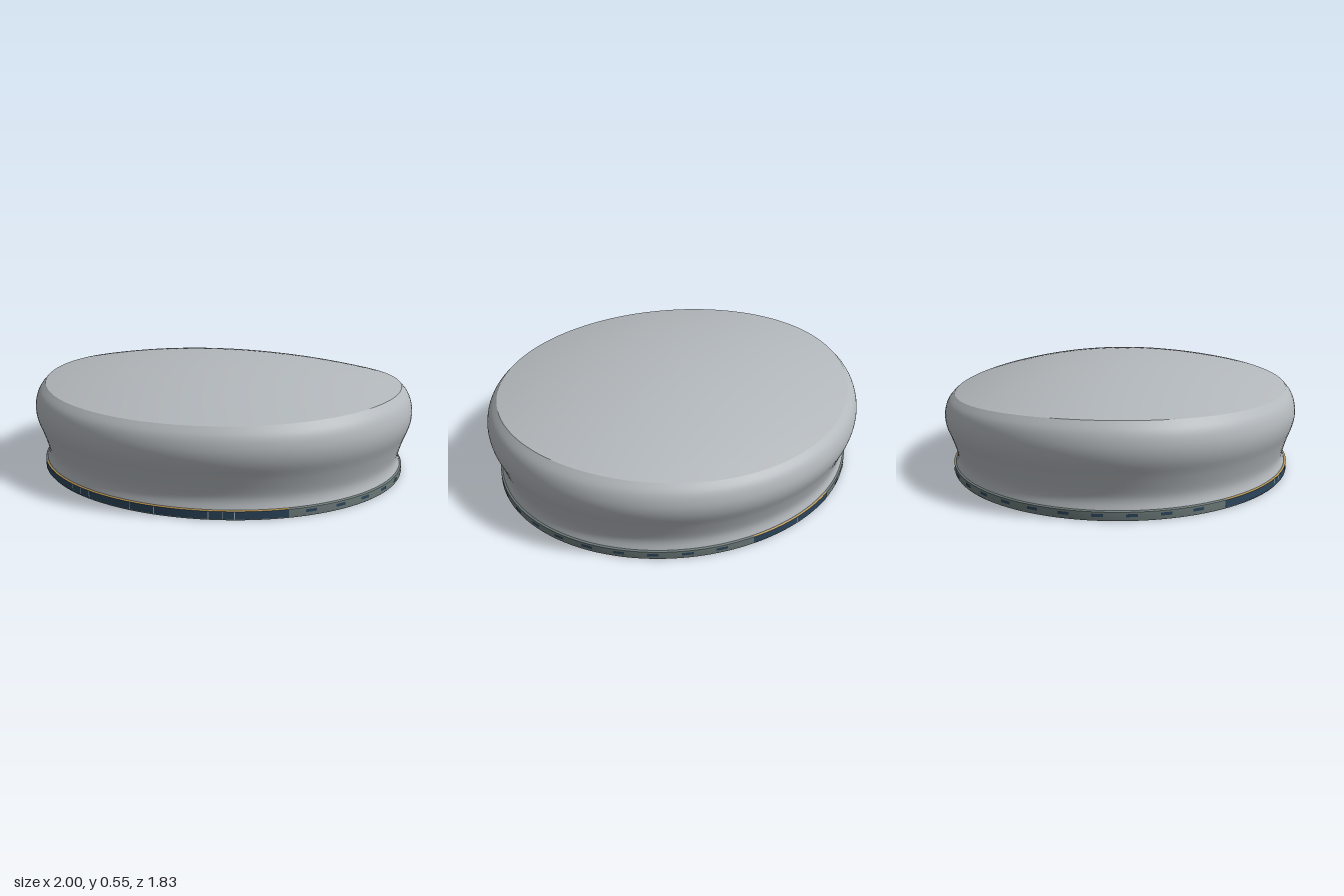
import * as THREE from 'three';
import { mergeVertices } from 'three/addons/utils/BufferGeometryUtils.js';

const DEPTH = 0.915; // oval: depth relative to width
const RAD = Math.PI / 180;

const mat = (name, color) => {
  const m = new THREE.MeshStandardMaterial({ color });
  m.name = name;
  return m;
};

// Height of the sloping upper rim, s = 1 at the front and -1 at the back
const rimHeight = (s) => 0.45 - 0.035 * s * s + 0.015 * s * s * s;

// Oval lathe from [radius, height] pairs; angles in degrees, 0 = front, 90 = +x
function ovalLathe(points, { from = 0, to = 360, segments = 128, rule = null } = {}) {
  const pts = points.map(([r, y]) => new THREE.Vector2(r, y));
  let g = new THREE.LatheGeometry(pts, segments, from * RAD, (to - from) * RAD);
  const p = g.attributes.position;
  for (let i = 0; i < p.count; i++) {
    const x = p.getX(i), y = p.getY(i), z = p.getZ(i);
    const r = Math.hypot(x, z);
    p.setXYZ(i, x, rule ? rule(r, y, r > 1e-6 ? z / r : 0) : y, z * DEPTH);
  }
  g.deleteAttribute('uv');
  g.deleteAttribute('normal');
  g = mergeVertices(g, 1e-5);
  g.computeVertexNormals();
  return g;
}

export function createModel() {
  const model = new THREE.Group();
  const shell = mat('silver grey', 0xb3b8bc);
  const ringGrey = mat('slate grey', 0x6f7d7c);
  const dark = mat('dark grey', 0x4c5252);
  const navy = mat('navy', 0x2c465c);
  const pale = mat('pale blue', 0xa9b8c4);
  const gold = mat('gold', 0xb8924c);
  gold.side = THREE.DoubleSide;

  const add = (name, geometry, material) => {
    const m = new THREE.Mesh(geometry, material);
    m.name = name;
    model.add(m);
  };

  // Waisted side wall
  const wall = new THREE.SplineCurve([
    [0.948, 0.045], [0.938, 0.08], [0.941, 0.12], [0.964, 0.195], [0.99, 0.265],
    [0.998, 0.32], [0.991, 0.37], [0.973, 0.412], [0.94, 0.45],
  ].map(([r, y]) => new THREE.Vector2(r, y))).getPoints(40).map((v) => [v.x, v.y]);
  add('sideWall', ovalLathe(wall, {
    rule: (r, y, s) => y + (rimHeight(s) - 0.45) * Math.pow(Math.max(0, (y - 0.045) / 0.405), 1.5),
  }), shell);

  // Domed top following the sloping rim
  const dome = [];
  for (let i = 16; i >= 0; i--) dome.push([0.94 * i / 16, 0]);
  add('domedTop', ovalLathe(dome, {
    rule: (r, y, s) => 0.55 - (0.55 - rimHeight(s)) * (r / 0.94) ** 2,
  }), shell);

  // Base ring and underside
  add('baseRing', ovalLathe([[0.953, 0], [0.957, 0.005], [0.957, 0.042]]), ringGrey);
  add('baseRingTop', ovalLathe([[0.957, 0.042], [0.953, 0.046], [0.935, 0.047]]), ringGrey);
  add('underside', ovalLathe([[0, 0], [0.953, 0]]), dark);

  // Thin plate lying on the ring
  const band = (name, from, to, y0, y1, r, material) =>
    add(name, ovalLathe([[r, y0], [r, y1]], { from, to, segments: Math.max(2, Math.ceil((to - from) / 2.8125)) }), material);

  // Navy panels front and back, each with a gold upper edge
  const panels = [[-52.6, 41.2], [168, 200]];
  for (const [from, to] of panels) {
    band('navyPanel', from, to, 0.007, 0.043, 0.9595, navy);
    add('goldEdge', ovalLathe([[0.9595, 0.044], [0.952, 0.0475]], { from, to, segments: 40 }), gold);
  }

  // Fine divider lines on the panels
  const dividers = [-0.43, -0.37, -0.31, -0.065, 0.06, 0.31, 0.37, 0.42].map((x) => Math.asin(x / 0.957) / RAD);
  for (const a of [...dividers, 184]) band('panelDivider', a - 0.12, a + 0.12, 0.008, 0.042, 0.961, pale);

  // Small slots around the rest of the ring
  for (let a = 48; a < 306; a += 10) {
    if (a > 162 && a < 206) continue;
    band('sideSlot', a - 1.7, a + 1.7, 0.02, 0.034, 0.9595, navy);
  }
  return model;
}
